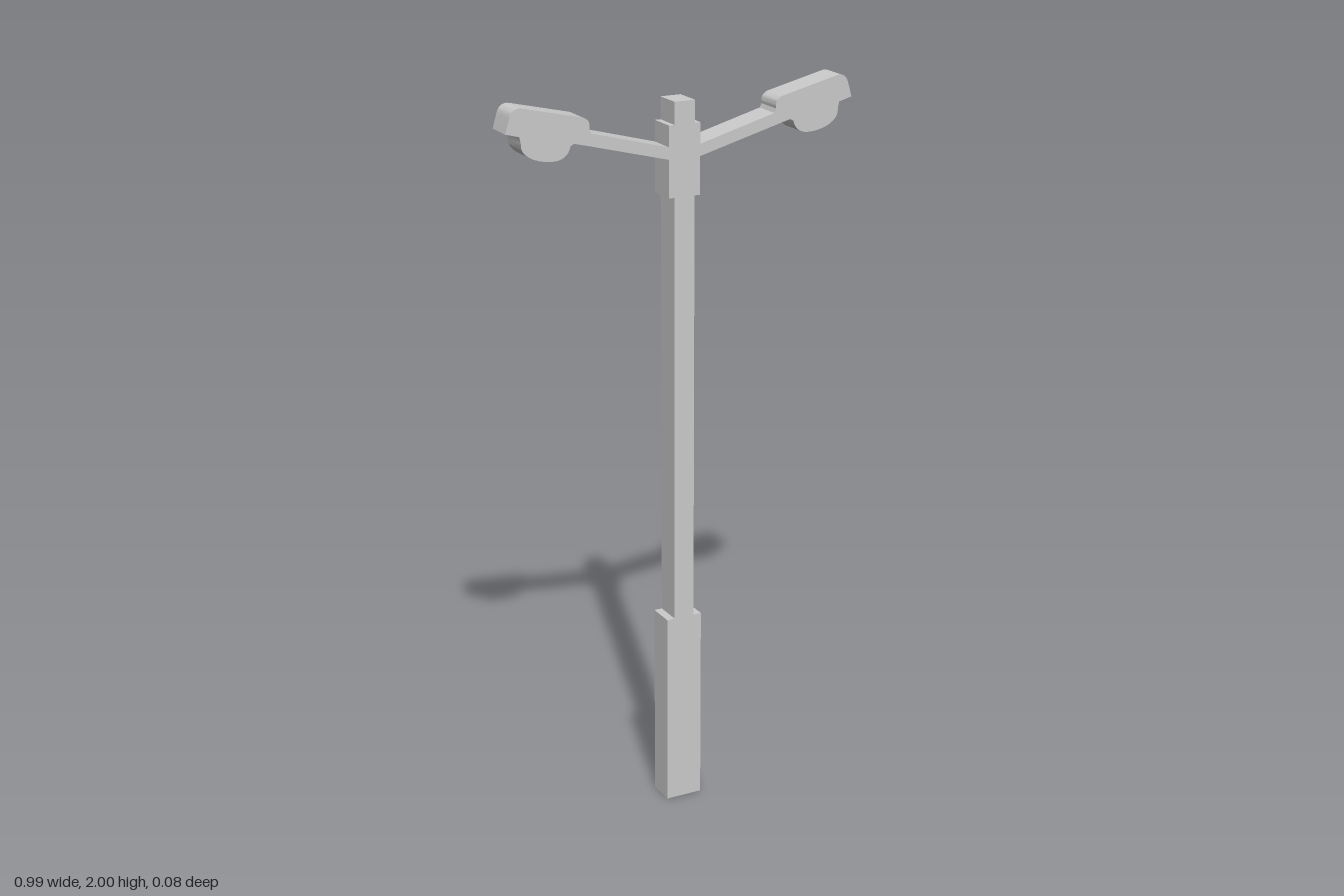
import * as THREE from 'three';
import { toCreasedNormals } from 'three/addons/utils/BufferGeometryUtils.js';

const DEPTH = 0.077;

export function createModel() {
  const model = new THREE.Group();
  model.name = 'streetLamp';
  const material = new THREE.MeshStandardMaterial({ color: 0xcccccc });

  function add(name, geometry, parent = model) {
    const mesh = new THREE.Mesh(geometry, material);
    mesh.name = name;
    parent.add(mesh);
    return mesh;
  }

  // Post: stacked square sections of equal depth
  function section(name, width, y0, y1) {
    add(name, new THREE.BoxGeometry(width, y1 - y0, DEPTH)).position.y = (y0 + y1) / 2;
  }
  section('base', 0.104, 0, 0.55);
  section('pole', 0.058, 0.55, 1.728);
  section('collar', 0.09, 1.728, 1.917);
  section('poleTop', 0.058, 1.917, 1.976);

  // Outline steps: [x, y] is a line, [cx, cy, x, y] a quadratic curve
  const outlines = {
    arm: [[0.045, 1.829], [0.27, 1.888], [0.262, 1.919], [0.045, 1.861]],
    lampHead: [
      [0.27, 1.888], [0.309, 1.898], [0.457, 1.93], [0.494, 1.94], [0.483, 1.978],
      [0.475, 2.005, 0.449, 2.0], [0.287, 1.962],
      [0.262, 1.955, 0.267, 1.93], [0.262, 1.919],
    ],
    lampLens: [
      [0.309, 1.898], [0.319, 1.893], [0.328, 1.857, 0.372, 1.859],
      [0.402, 1.861, 0.425, 1.872], [0.456, 1.888, 0.453, 1.912], [0.457, 1.93],
    ],
  };

  function extrude(steps, side) {
    const shape = new THREE.Shape();
    steps.forEach((p, i) => {
      if (i === 0) shape.moveTo(side * p[0], p[1]);
      else if (p.length === 2) shape.lineTo(side * p[0], p[1]);
      else shape.quadraticCurveTo(side * p[0], p[1], side * p[2], p[3]);
    });
    const geometry = new THREE.ExtrudeGeometry(shape, { depth: DEPTH, bevelEnabled: false, curveSegments: 8 });
    geometry.translate(0, 0, -DEPTH / 2);
    return toCreasedNormals(geometry, 0.5);
  }

  // Mirrored arms with their lamps
  for (const [side, label] of [[1, 'left'], [-1, 'right']]) {
    const lamp = new THREE.Group();
    lamp.name = label + 'Lamp';
    for (const [name, steps] of Object.entries(outlines)) add(name, extrude(steps, side), lamp);
    model.add(lamp);
  }

  return model;
}
